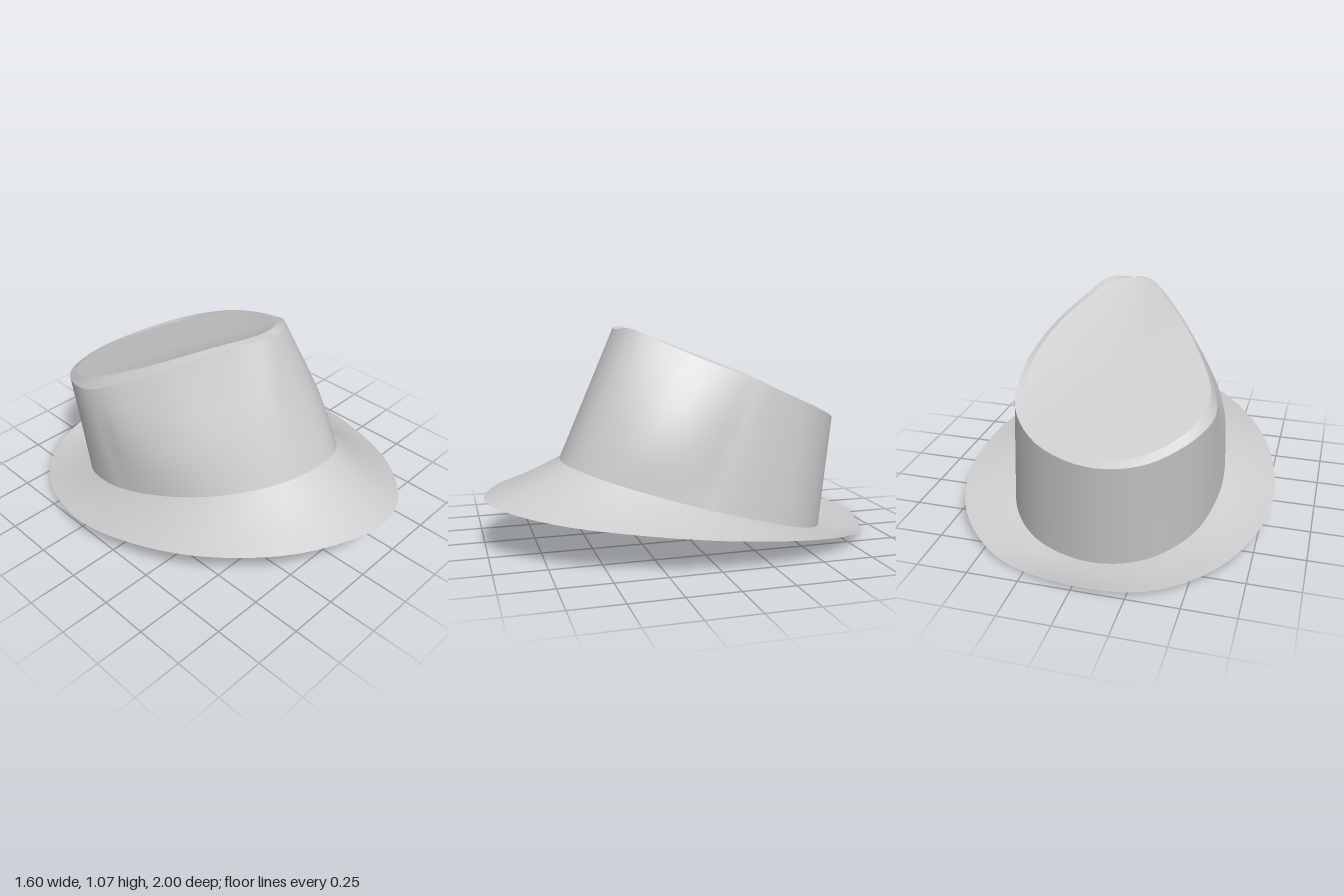
import * as THREE from 'three';

const SEGMENTS = 80;
const { lerp, smoothstep } = THREE.MathUtils;

// Smooth closed ring through 16 control points, front -> left side -> back -> right side
function ring(points) {
  const curve = new THREE.CatmullRomCurve3(points.map(p => new THREE.Vector3(...p)), true);
  return Array.from({ length: SEGMENTS }, (_, i) => curve.getPoint(i / SEGMENTS));
}

// Intermediate ring between two rings, with an optional vertical sag
const between = (a, b, t, sag = 0) => a.map((p, i) => {
  const q = p.clone().lerp(b[i], t);
  q.y -= sag * Math.sin(Math.PI * t);
  return q;
});

// Skin a list of matching rings
function loft(name, rings) {
  const positions = rings.flat().flatMap(p => p.toArray());
  const index = [];
  for (let r = 0; r < rings.length - 1; r++) {
    for (let i = 0; i < SEGMENTS; i++) {
      const j = (i + 1) % SEGMENTS;
      const a = r * SEGMENTS + i, b = r * SEGMENTS + j;
      const c = a + SEGMENTS, d = b + SEGMENTS;
      index.push(a, b, d, a, d, c);
    }
  }
  const geometry = new THREE.BufferGeometry();
  geometry.setAttribute('position', new THREE.Float32BufferAttribute(positions, 3));
  geometry.setIndex(index);
  geometry.computeVertexNormals();
  const material = new THREE.MeshStandardMaterial({
    color: 0xcccccc, roughness: 0.9, side: THREE.DoubleSide,
  });
  const mesh = new THREE.Mesh(geometry, material);
  mesh.name = name;
  return mesh;
}

export function createModel() {
  const hat = new THREE.Group();
  hat.name = 'hat';

  // Outer edge of the brim
  const brimEdge = ring([
    [0.08, 0.26, 1.0], [0.31, 0.255, 0.955], [0.56, 0.23, 0.72], [0.72, 0.2, 0.38],
    [0.80, 0.165, 0.0], [0.76, 0.12, -0.41], [0.615, 0.075, -0.70], [0.37, 0.02, -0.89],
    [-0.04, 0.03, -1.0], [-0.34, 0.02, -0.94], [-0.59, 0.04, -0.75], [-0.74, 0.075, -0.49],
    [-0.80, 0.11, -0.18], [-0.75, 0.165, 0.18], [-0.60, 0.21, 0.52], [-0.31, 0.25, 0.84],
  ]);

  // Seam where the crown meets the brim: an oval on a plane tilted backwards
  const seam = ring([
    [0.10, 0.625], [0.25, 0.595], [0.40, 0.455], [0.50, 0.225],
    [0.535, 0.0], [0.515, -0.25], [0.44, -0.52], [0.26, -0.70],
    [-0.03, -0.775], [-0.28, -0.71], [-0.46, -0.53], [-0.53, -0.32],
    [-0.54, -0.12], [-0.48, 0.15], [-0.35, 0.385], [-0.13, 0.57],
  ].map(([x, z]) => [x, 0.005 + 0.3 * (z + 0.775), z]));

  // Teardrop rim of the crown, pinched to a peak at the front
  const rim = ring([
    [0.07, 1.06, 0.335], [0.17, 1.07, 0.285], [0.28, 0.995, 0.12], [0.365, 0.915, -0.06],
    [0.41, 0.84, -0.25], [0.42, 0.775, -0.40], [0.38, 0.68, -0.61], [0.22, 0.60, -0.78],
    [-0.04, 0.56, -0.86], [-0.27, 0.57, -0.81], [-0.44, 0.62, -0.67], [-0.525, 0.665, -0.50],
    [-0.525, 0.70, -0.37], [-0.435, 0.80, -0.17], [-0.28, 0.93, 0.06], [-0.03, 1.065, 0.32],
  ]);

  // Wall rings swell on the front quarters, between the round seam and pinched rim
  const wall = t => between(seam, rim, t).map((p, i) => {
    const quarter = Math.max(0, Math.sin(4 * Math.PI * Math.abs(i / SEGMENTS - 0.5) + Math.PI));
    const swell = 1 + 0.13 * quarter * Math.sin(Math.PI * t);
    return new THREE.Vector3(p.x * swell, p.y, p.z);
  });

  // Sloping flat inside the rim; lift raises its edge towards the front, less on the right
  const centre = new THREE.Vector3(-0.05, 0, -0.3);
  const flat = (scale, lift) => rim.map(p => {
    const x = lerp(centre.x, p.x, scale), z = lerp(centre.z, p.z, scale);
    const rise = lift * smoothstep(z, -0.75, -0.2) * smoothstep(x, -0.55, -0.1);
    return new THREE.Vector3(x, 0.56 + 0.405 * (z + 0.86) + rise, z);
  });
  const crest = flat(0.93, 0.045);

  const steps = [0, 0.2, 0.4, 0.6, 0.8, 1];
  hat.add(loft('brim', steps.map(t => between(brimEdge, seam, t, 0.008))));
  hat.add(loft('crownWall', steps.map(wall)));
  hat.add(loft('crownRimBevel', [rim, crest]));
  hat.add(loft('crownTop', [crest, flat(0.75, 0.02), flat(0.4, 0), flat(0.001, 0)]));
  return hat;
}
